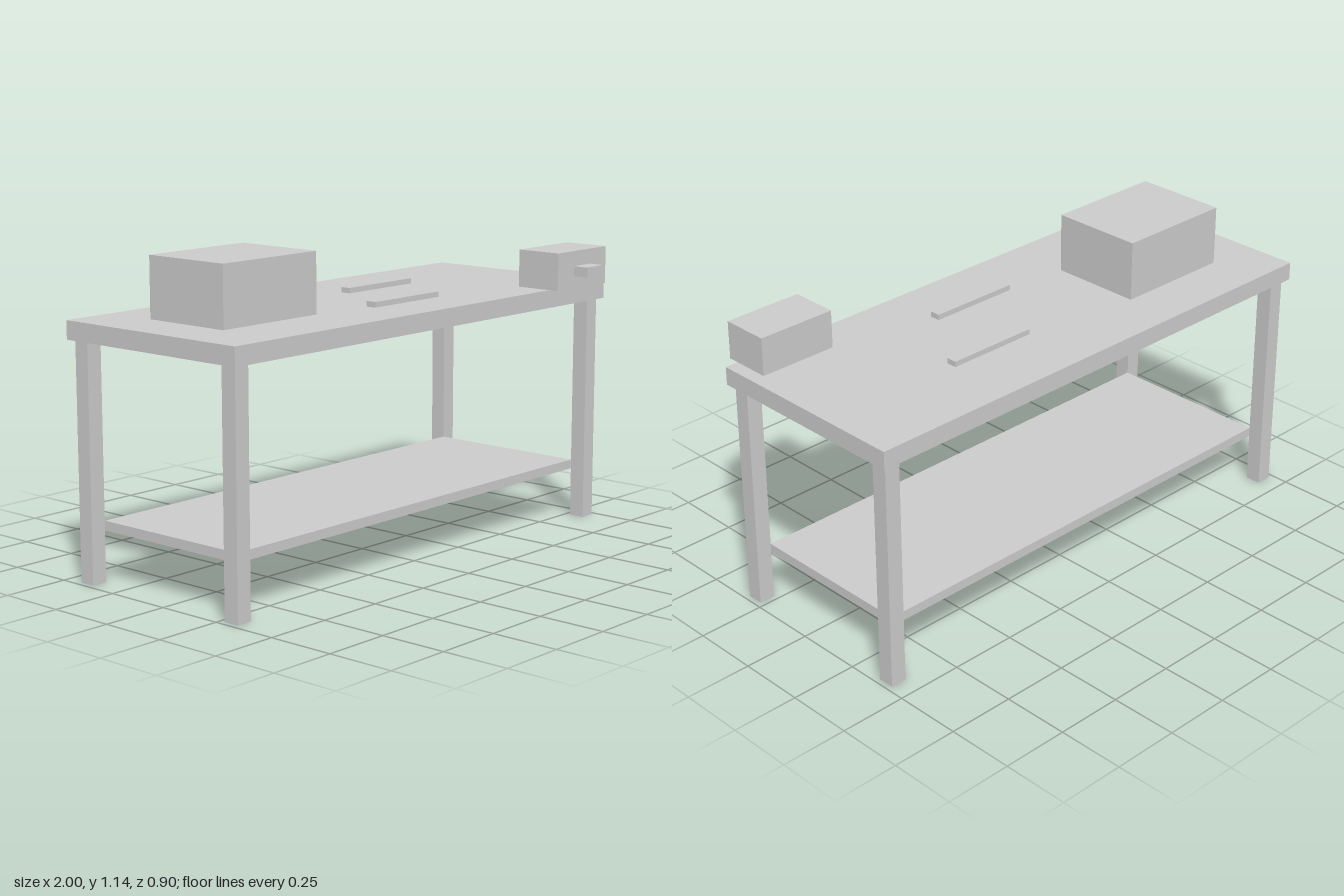
import * as THREE from 'three';

export function createModel() {
  const model = new THREE.Group();
  model.name = 'workbench';
  const grey = new THREE.MeshStandardMaterial({ color: 0xcccccc });
  grey.name = 'light grey';

  // Box given by its extents along each axis
  const addBox = (name, [x0, x1], [y0, y1], [z0, z1], parent = model) => {
    const mesh = new THREE.Mesh(new THREE.BoxGeometry(x1 - x0, y1 - y0, z1 - z0), grey);
    mesh.position.set((x0 + x1) / 2, (y0 + y1) / 2, (z0 + z1) / 2);
    mesh.name = name;
    parent.add(mesh);
  };
  const addGroup = (name) => {
    const group = new THREE.Group();
    group.name = name;
    model.add(group);
    return group;
  };

  // Bench: worktop, lower shelf fitted between four legs
  const topY = 0.92;
  addBox('worktop', [-1, 1], [0.853, topY], [-0.45, 0.35]);
  addBox('lowerShelf', [-0.92, 0.92], [0.185, 0.22], [-0.37, 0.27]);
  for (const [side, x] of [['Left', 0.95], ['Right', -0.95]]) {
    for (const [end, z] of [['front', 0.3], ['back', -0.4]]) {
      addBox(`${end}${side}Leg`, [x - 0.03, x + 0.03], [0, 0.853], [z - 0.03, z + 0.03]);
    }
  }

  // Toolbox with lid
  const toolbox = addGroup('toolbox');
  addBox('toolboxBody', [-0.8, -0.35], [topY, 1.122], [-0.25, 0.1], toolbox);
  addBox('toolboxLid', [-0.8, -0.35], [1.122, 1.14], [-0.25, 0.1], toolbox);

  // Vise overhanging the front edge
  const vise = addGroup('vise');
  addBox('viseBody', [0.65, 0.95], [topY, 1.06], [0.21, 0.39], vise);
  addBox('viseHandle', [0.75, 0.85], [0.965, 1.003], [0.39, 0.45], vise);

  // Loose bar tools lying on the worktop
  addBox('frontTool', [-0.1, 0.25], [topY, 0.94], [0.11, 0.15]);
  addBox('backTool', [0.1, 0.45], [topY, 0.94], [-0.19, -0.15]);

  return model;
}
